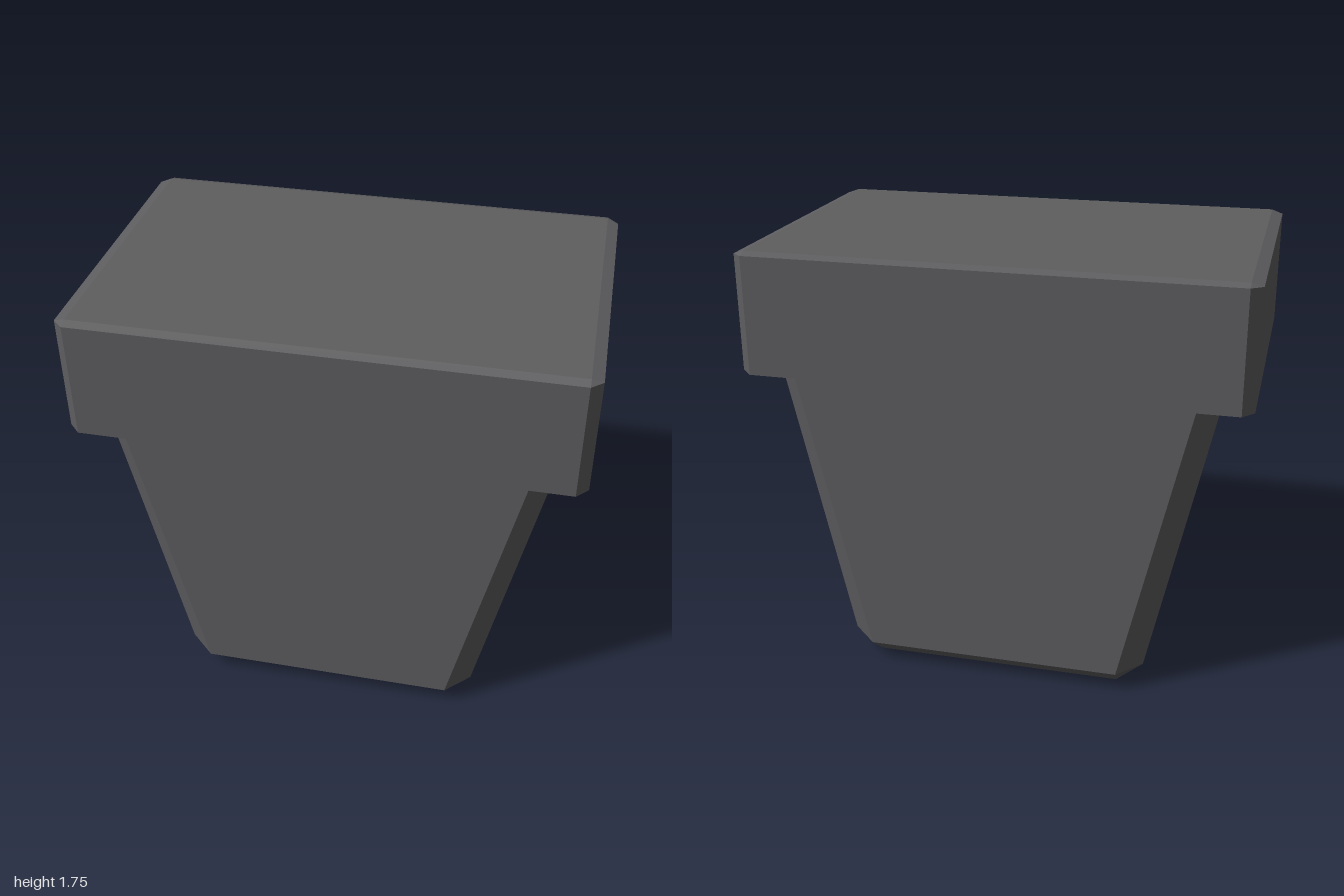
import * as THREE from 'three';
import { ConvexGeometry } from 'three/addons/geometries/ConvexGeometry.js';

// Mirror one corner's points into all four corners and wrap them in a faceted hull
function chamferedBlock(name, corner, material) {
  const points = [];
  for (const sx of [-1, 1])
    for (const sz of [-1, 1])
      for (const [x, y, z] of corner) points.push(new THREE.Vector3(sx * x, y, sz * z));
  const mesh = new THREE.Mesh(new ConvexGeometry(points), material);
  mesh.name = name;
  return mesh;
}

export function createModel() {
  const group = new THREE.Group();
  group.name = 'planter';
  const darkGrey = new THREE.MeshStandardMaterial({ color: 0x5e5e60 });
  darkGrey.name = 'darkGrey';

  // Body: widens upward in x only, with bevelled corners and base
  group.add(chamferedBlock('taperedBody', [
    [0.51, 0, 0.51],
    [0.52, 0.08, 0.6],
    [0.62, 0.095, 0.515],
    [0.801, 1.3, 0.6],
    [0.886, 1.3, 0.515],
  ], darkGrey));

  // Rim block: wide bevel on the uprights, shallow bevel above and below
  group.add(chamferedBlock('topRim', [
    [0.955, 1.25, 0.615],
    [0.955, 1.262, 0.65],
    [1, 1.265, 0.605],
    [1, 1.735, 0.605],
    [0.955, 1.738, 0.65],
    [0.955, 1.75, 0.615],
  ], darkGrey));

  return group;
}
